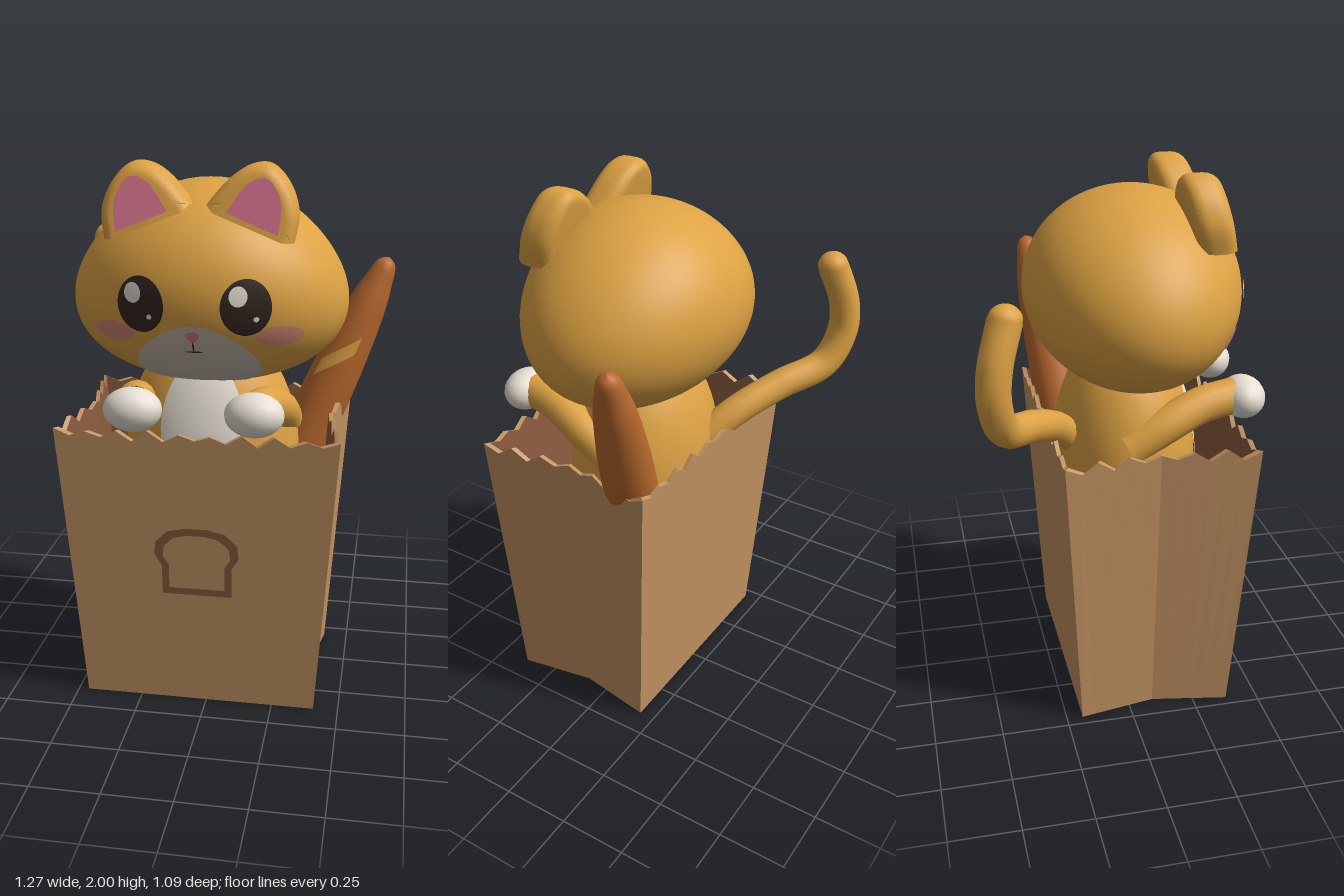
import * as THREE from 'three';
import { mergeVertices, toCreasedNormals } from 'three/addons/utils/BufferGeometryUtils.js';

const CX = -0.027; // symmetry plane of bag and cat
const mat = (name, color, side = THREE.FrontSide) =>
  Object.assign(new THREE.MeshStandardMaterial({ color, side }), { name });

// Move every vertex of a geometry by a rule
function warp(geo, rule) {
  const p = geo.attributes.position, v = new THREE.Vector3();
  for (let i = 0; i < p.count; i++) {
    rule(v.fromBufferAttribute(p, i));
    p.setXYZ(i, v.x, v.y, v.z);
  }
  geo.computeVertexNormals();
  return geo;
}

// Strip of quads between two closed rings of points
function loft(a, b) {
  const pos = [];
  a.forEach((_, i) => {
    const j = (i + 1) % a.length;
    for (const p of [a[i], a[j], b[j], a[i], b[j], b[i]]) pos.push(...p);
  });
  const g = new THREE.BufferGeometry();
  g.setAttribute('position', new THREE.Float32BufferAttribute(pos, 3));
  g.computeVertexNormals();
  return g;
}

// Rounded forms: ellipsoids, optionally wider towards the bottom
const HEAD = { c: [CX, 1.565, 0.085], r: [0.493, 0.365, 0.395], taper: 0.18 };
const BODY = { c: [CX, 0.9, 0.06], r: [0.33, 0.5, 0.27], taper: 0 };

function ellipsoid({ c, r, taper = 0 }, w = 48, h = 32) {
  const g = new THREE.SphereGeometry(1, w, h);
  g.deleteAttribute('uv');
  g.deleteAttribute('normal');
  return warp(mergeVertices(g), (v) =>
    v.set(c[0] + r[0] * v.x * (1 - taper * v.y), c[1] + r[1] * v.y, c[2] + r[2] * v.z));
}

// Painted patch laid on the front of an ellipsoid
function patch(s, x, y, w, h, lift, squeeze = 0) {
  return warp(new THREE.RingGeometry(0.001, 1, 40, 14), (v) => {
    const px = x + v.x * w * (1 - squeeze * v.y), py = y + v.y * h;
    const uy = (py - s.c[1]) / s.r[1];
    const ux = (px - s.c[0]) / (s.r[0] * (1 - s.taper * uy));
    const pz = s.c[2] + s.r[2] * Math.sqrt(Math.max(0, 1 - ux * ux - uy * uy));
    const k = 1 + lift;
    v.set(s.c[0] + (px - s.c[0]) * k, s.c[1] + (py - s.c[1]) * k, s.c[2] + (pz - s.c[2]) * k);
  });
}

const curve = (pts) => new THREE.CatmullRomCurve3(pts.map((p) => new THREE.Vector3(...p)));

function splineShape(pts, sx = 1) {
  const p = pts.map(([x, y]) => new THREE.Vector2(CX + x * sx, y));
  const s = new THREE.Shape();
  s.moveTo(p[0].x, p[0].y);
  s.splineThru(p.slice(1));
  return s;
}

export function createModel() {
  const root = new THREE.Group();
  const add = (name, geo, material, parent = root) => {
    const m = new THREE.Mesh(geo, material);
    m.name = name;
    parent.add(m);
    return m;
  };
  const group = (name) => {
    const g = new THREE.Group();
    g.name = name;
    root.add(g);
    return g;
  };

  const fur = mat('orange fur', 0xdda243);
  const white = mat('white fur', 0xe6dfd3);
  const muzzleMat = mat('muzzle grey', 0xbfb4a5);
  const pink = mat('pink', 0xd9748f);
  const blush = mat('blush', 0xd08672);
  const dark = mat('eye brown', 0x33251f);
  const paper = mat('paper', 0xc29362);
  const paperInside = mat('paper inside', 0x8c5d40);
  const ink = mat('print brown', 0x8b5a3a);
  const crust = mat('crust', 0xb9692d);

  // Paper bag: gusseted sides, zigzag rim
  const bag = group('bag');
  const unit = [];
  for (let i = 0; i < 18; i++) unit.push([-1 + i / 9, 1]);
  for (let i = 0; i < 12; i++) unit.push([1, 1 - i / 6]);
  for (let i = 0; i < 18; i++) unit.push([1 - i / 9, -1]);
  for (let i = 0; i < 12; i++) unit.push([-1, -1 + i / 6]);
  const ring = (height, inset) => unit.map(([u, w], i) => {
    const y = height(i);
    const gusset = Math.abs(u) === 1 ? 0.05 * (1 - Math.abs(w)) : 0;
    return [CX + u * (0.435 + 0.067 * y - inset - gusset), y, 0.095 + w * (0.285 + 0.06 * y - inset)];
  });
  const zigzag = (i) => (i % 2 ? 1.058 : 1.088) + 0.007 * Math.sin(i * 2.3);
  const centre = (y) => unit.map(() => [CX, y, 0.095]);
  const outerBase = ring(() => 0, 0), outerTop = ring(zigzag, 0);
  const innerTop = ring(zigzag, 0.016), innerBase = ring(() => 0.015, 0.016);
  add('bagWalls', loft(outerBase, outerTop), paper, bag);
  add('bagRim', loft(outerTop, innerTop), paper, bag);
  add('bagBase', loft(centre(0), outerBase), paper, bag);
  add('bagLining', loft(innerTop, innerBase), paperInside, bag);
  add('bagFloor', loft(innerBase, centre(0.015)), paperInside, bag);

  // Printed bread slice outline on the front
  const half = [[0.128, 0.455], [0.128, 0.57], [0.155, 0.615], [0.15, 0.665], [0.105, 0.71], [0.04, 0.725]];
  const slice = half.concat(half.map(([x, y]) => [-x, y]).reverse());
  const toShape = (Type, kx, ky) =>
    new Type(slice.map(([x, y]) => new THREE.Vector2(CX + x * kx, 0.585 + (y - 0.585) * ky)));
  const motif = toShape(THREE.Shape, 1, 1);
  motif.holes.push(toShape(THREE.Path, 0.8, 0.8));
  add('breadMotif', warp(new THREE.ShapeGeometry(motif), (v) => { v.z = 0.384 + 0.06 * v.y; }), ink, bag);

  // Body and head
  const cat = group('cat');
  add('body', ellipsoid(BODY), fur, cat);
  add('chest', patch(BODY, CX, 1.05, 0.15, 0.25, 0.014), white, cat);
  add('head', ellipsoid(HEAD, 64, 40), fur, cat);
  add('muzzle', patch(HEAD, CX, 1.33, 0.215, 0.15, 0.01, 0.28).clone(), muzzleMat, cat).geometry =
    patch(HEAD, CX, 1.346, 0.21, 0.134, 0.01, 0.28);
  add('nose', patch(HEAD, CX, 1.442, 0.022, 0.02, 0.017, -0.5), pink, cat);
  add('mouthLine', patch(HEAD, CX, 1.405, 0.003, 0.018, 0.016), dark, cat);
  add('mouth', patch(HEAD, CX, 1.386, 0.03, 0.003, 0.016), dark, cat);

  const earOutline = [[0.323, 1.745], [0.335, 1.84], [0.305, 1.93], [0.243, 1.995],
    [0.173, 1.995], [0.1, 1.95], [0.025, 1.865]];
  const earInner = [[0.275, 1.775], [0.282, 1.87], [0.252, 1.94], [0.213, 1.957], [0.16, 1.93], [0.1, 1.845]];
  const lean = (v) => { v.z += 0.385 - 0.22 * (v.y - 1.78); };

  for (const [side, s] of [['left', 1], ['right', -1]]) {
    // Eyes and cheeks
    add(side + 'Eye', patch(HEAD, CX + s * 0.177, 1.545, 0.083, 0.096, 0.012), dark, cat);
    add(side + 'EyeShine', patch(HEAD, CX + s * 0.177 - 0.025, 1.584, 0.03, 0.034, 0.019), white, cat);
    add(side + 'EyeGlint', patch(HEAD, CX + s * 0.177 + 0.033, 1.507, 0.009, 0.009, 0.019), white, cat);
    add(side + 'Cheek', patch(HEAD, CX + s * 0.285, 1.44, 0.078, 0.036, 0.008), blush, cat);

    // Ears
    const ear = new THREE.ExtrudeGeometry(splineShape(earOutline, s), {
      depth: 0.04, bevelThickness: 0.05, bevelSize: 0.04, bevelOffset: -0.04, bevelSegments: 5, curveSegments: 24,
    });
    ear.translate(0, 0, -0.09);
    add(side + 'Ear', toCreasedNormals(warp(ear, lean), 0.7), fur, cat);
    const inner = new THREE.ShapeGeometry(splineShape(earInner, s), 24).translate(0, 0, 0.005);
    add(side + 'EarInner', warp(inner, lean), pink, cat);

    // Arms resting on the rim
    const arm = curve([[CX + s * 0.27, 1.03, 0.02], [CX + s * 0.265, 1.11, 0.16],
      [CX + s * 0.235, 1.165, 0.3], [CX + s * 0.212, 1.183, 0.43]]);
    add(side + 'Arm', new THREE.TubeGeometry(arm, 20, 0.068, 16), fur, cat);
    add(side + 'Paw', ellipsoid({ c: [CX + s * 0.212, 1.178, 0.463], r: [0.104, 0.078, 0.082] }, 20, 14), white, cat);
  }

  // Tail with rounded tip
  const tail = curve([[-0.05, 0.95, -0.1], [-0.2, 1.1, -0.23], [-0.36, 1.18, -0.34], [-0.51, 1.24, -0.45],
    [-0.575, 1.36, -0.488], [-0.58, 1.48, -0.483], [-0.545, 1.63, -0.44]]);
  add('tail', new THREE.TubeGeometry(tail, 40, 0.058, 14), fur, cat);
  add('tailTip', ellipsoid({ c: [-0.545, 1.63, -0.44], r: [0.057, 0.052, 0.057] }, 16, 12), fur, cat);

  // Baguette leaning out of the bag
  const baguette = group('baguette');
  const profile = new THREE.SplineCurve([[0, -0.75], [0.05, -0.72], [0.085, -0.6], [0.098, -0.3], [0.098, 0],
    [0.091, 0.2], [0.075, 0.4], [0.056, 0.51], [0.036, 0.59], [0, 0.615]]
    .map(([r, y]) => new THREE.Vector2(r, y)));
  const loaf = profile.getPoints(40).map((p) => p.setX(Math.max(0, p.x)));
  add('loaf', new THREE.LatheGeometry(loaf, 24), crust, baguette);
  // Slanted score mark following the crust
  const score = warp(new THREE.CylinderGeometry(1, 1, 0.07, 14, 1, true, -0.85, 1.25), (v) => {
    const y = v.y + 0.2 + 0.11 * (Math.atan2(v.x, v.z) + 0.22);
    const r = 0.103 - 0.05 * Math.max(0, y);
    v.set(v.x * r, y, v.z * r);
  });
  add('scoreMark', score, fur, baguette);
  baguette.position.set(0.37, 1.05, -0.13);
  baguette.quaternion.setFromUnitVectors(
    new THREE.Vector3(0, 1, 0), new THREE.Vector3(0.42, 1, -0.14).normalize());

  return root;
}
